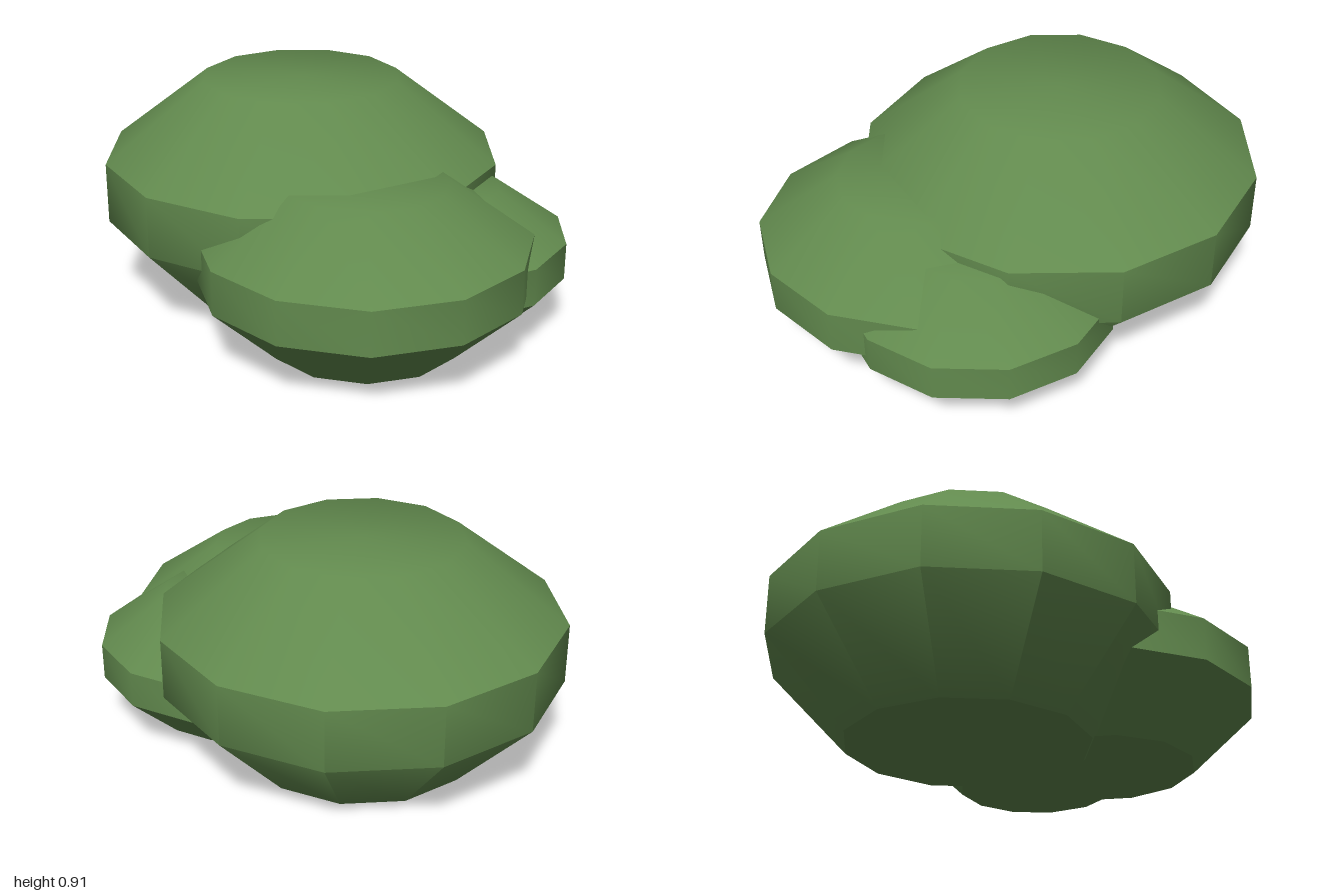
import * as THREE from 'three';
import { toCreasedNormals } from 'three/addons/utils/BufferGeometryUtils.js';

const SIDES = 12;

// Faceted mound: flared base, short upright band, sloping crown, smooth except at sharp edges
function makeMound(radius, height, turn) {
  const profile = [
    [0, 0], [0.6, 0], [1, 0.385], [1, 0.655], [0.5, 1], [0, 1],
  ].map(([r, y]) => new THREE.Vector2(r * radius, y * height));
  const geometry = new THREE.LatheGeometry(profile, SIDES);
  geometry.rotateY(turn);
  return toCreasedNormals(geometry, THREE.MathUtils.degToRad(42));
}

export function createModel() {
  const model = new THREE.Group();
  model.name = 'bush';

  const leafGreen = new THREE.MeshStandardMaterial({ color: 0x628a4e });
  leafGreen.name = 'leaf green';

  // Three overlapping clumps of foliage
  const clumps = [
    { name: 'largeClump', radius: 0.812, height: 0.91, turn: -0.075, position: [0.04, 0, -0.19] },
    { name: 'mediumClump', radius: 0.65, height: 0.648, turn: 0.197, position: [-0.218, 0.01, 0.362] },
    { name: 'smallClump', radius: 0.544, height: 0.547, turn: -0.12, position: [0.13, 0.012, 0.415] },
  ];
  for (const { name, radius, height, turn, position } of clumps) {
    const clump = new THREE.Mesh(makeMound(radius, height, turn), leafGreen);
    clump.name = name;
    clump.position.set(...position);
    model.add(clump);
  }
  return model;
}
